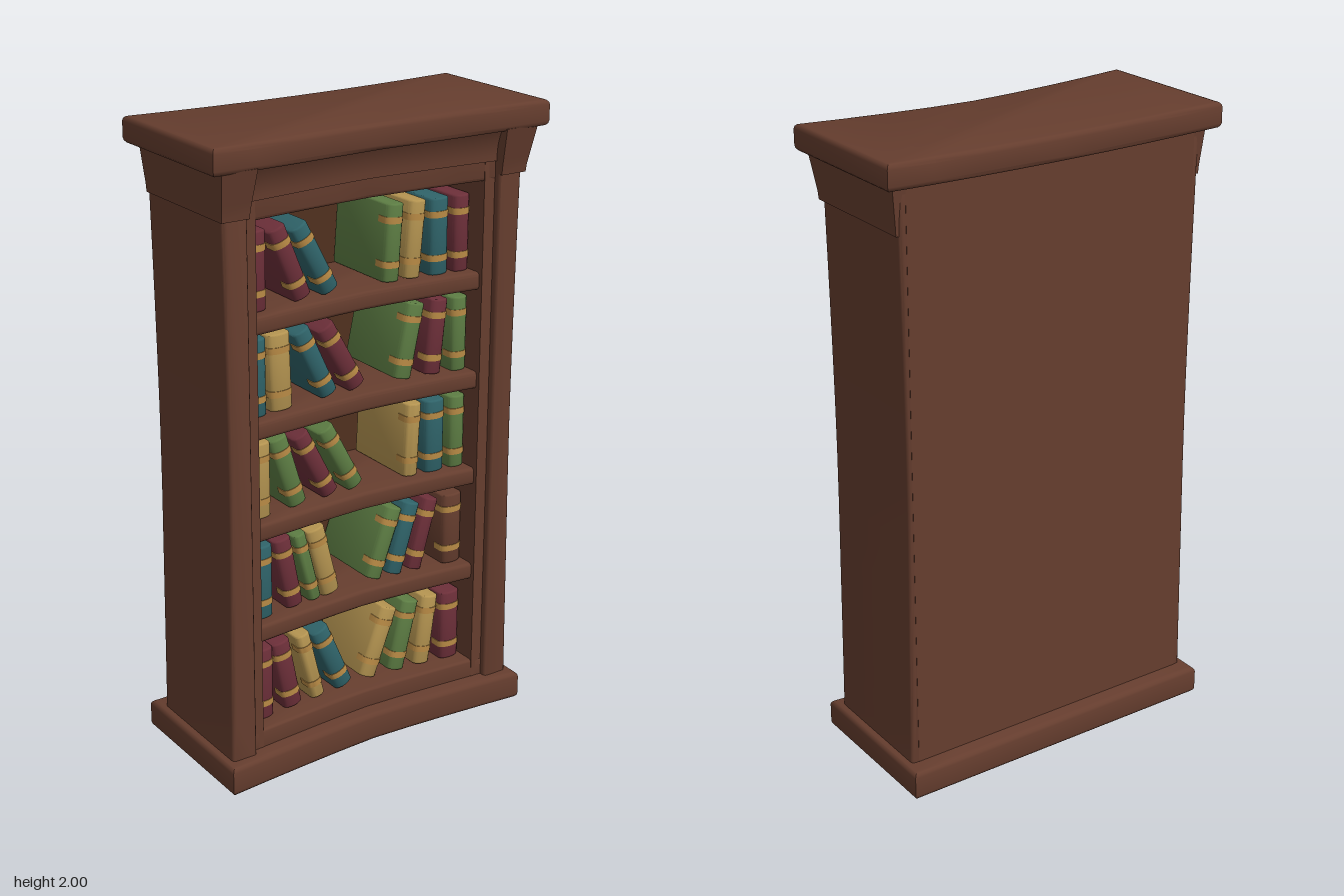
import * as THREE from 'three';
import { toCreasedNormals } from 'three/addons/utils/BufferGeometryUtils.js';

const mat = (name, color) => {
  const m = new THREE.MeshStandardMaterial({ color });
  m.name = name;
  return m;
};
const M = {
  wood: mat('wood', 0x653d2e),
  dark: mat('shadedWood', 0x50301f),
  maroon: mat('maroonCover', 0x6c2f39),
  teal: mat('tealCover', 0x2f6369),
  green: mat('greenCover', 0x5c7c43),
  yellow: mat('yellowCover', 0xb39350),
  gold: mat('goldBand', 0xb88a45),
};

// Concave front: 0 at the ends, d in the middle
const dip = (x, w, d) => d * (1 - Math.pow(Math.min(1, Math.abs(x) / w), 1.3));

function add(parent, name, geo, material) {
  const mesh = new THREE.Mesh(geo, material);
  mesh.name = name;
  parent.add(mesh);
  return mesh;
}

// Extrude a plan outline of [x, z] points upward from y0 to y1 with rounded edges
function planExtrude(points, y0, y1, bevel) {
  const shape = new THREE.Shape(points.map(([x, z]) => new THREE.Vector2(x, -z)));
  const geo = new THREE.ExtrudeGeometry(shape, {
    depth: y1 - y0 - 2 * bevel, bevelEnabled: bevel > 0, bevelThickness: bevel,
    bevelSize: bevel, bevelOffset: -bevel, bevelSegments: 3,
  });
  geo.rotateX(-Math.PI / 2);
  geo.translate(0, y0 + bevel, 0);
  return toCreasedNormals(geo, 0.7);
}

// Board whose front edge curves inward
function slab(w, zBack, zFront, d, y0, y1, bevel) {
  const pts = [], n = 8;
  for (let i = 0; i <= n; i++) {
    const x = -w + (2 * w * i) / n;
    pts.push([x, zFront - dip(x, w, d)]);
  }
  for (let i = n; i >= 0; i--) pts.push([-w + (2 * w * i) / n, zBack]);
  return planExtrude(pts, y0, y1, bevel);
}

function box(x0, x1, y0, y1, z0, z1, sx = 1, sy = 1) {
  const geo = new THREE.BoxGeometry(x1 - x0, y1 - y0, z1 - z0, sx, sy, 1);
  return geo.translate((x0 + x1) / 2, (y0 + y1) / 2, (z0 + z1) / 2);
}

// Move every vertex by a rule, then smooth the shallow edges
function reshape(geo, rule) {
  const p = geo.attributes.position, v = new THREE.Vector3();
  for (let i = 0; i < p.count; i++) {
    rule(v.fromBufferAttribute(p, i));
    p.setXYZ(i, v.x, v.y, v.z);
  }
  return toCreasedNormals(geo, 0.7);
}

// Side post with a slightly waisted outer edge
function postGeometry(side) {
  const outer = new THREE.CatmullRomCurve3(
    [[0.524, 0.08], [0.518, 0.5], [0.512, 1], [0.515, 1.45], [0.522, 1.92]]
      .map(([x, y]) => new THREE.Vector3(x, y, 0))).getPoints(12);
  const pts = [new THREE.Vector2(0.438, 1.92), new THREE.Vector2(0.438, 0.08),
    ...outer.map((p) => new THREE.Vector2(p.x, p.y))];
  const shape = new THREE.Shape(pts.map((p) => new THREE.Vector2(p.x * side, p.y)));
  const b = 0.012;
  const geo = new THREE.ExtrudeGeometry(shape, {
    depth: 0.42 - 2 * b, bevelThickness: b, bevelSize: b, bevelOffset: -b, bevelSegments: 3,
  });
  geo.translate(0, 0, -0.21 + b);
  return toCreasedNormals(geo, 0.7);
}

// Flared block on top of a post
function capitalGeometry(side) {
  const geo = box(-0.5, 0.5, 0, 1, -0.5, 0.5, 1, 6);
  return reshape(geo, (v) => {
    const t = v.y, f = t < 0.15 ? t * 0.5 : 0.075 + ((t - 0.15) / 0.85) * 0.925;
    const inner = 0.438 - 0.01 * f, outer = 0.528 + 0.014 * f;
    v.x = side * (0.5 * (inner + outer) + side * v.x * (outer - inner));
    v.z = v.z > 0 ? 0.218 + 0.032 * f : -0.202 - 0.01 * f;
    v.y = 1.78 + 0.145 * t;
  });
}

// Plan of a book: rounded spine toward +z
function bookPlan(w, zBack, grow) {
  const hw = w / 2 + grow, pts = [[-hw, zBack]];
  for (let i = 0; i <= 8; i++) {
    const a = Math.PI * (1 - i / 8);
    pts.push([Math.cos(a) * hw, Math.sin(a) * (0.018 + grow) - 0.018]);
  }
  pts.push([hw, zBack]);
  return pts;
}

const BOOK_H = 0.238;
function makeBook(color, w) {
  const book = new THREE.Group();
  book.name = color + 'Book';
  add(book, 'cover', planExtrude(bookPlan(w, -0.27, 0), 0, BOOK_H, 0.005), M[color]);
  for (const y of [0.043, 0.178]) {
    add(book, 'spineBand', planExtrude(bookPlan(w, -0.05, 0.002), y, y + 0.02, 0), M.gold);
  }
  return book;
}

// Each row: shelf height, then [colour, centre x, lean in degrees, thickness]
const ROWS = [
  [1.475, [['maroon', -0.363, 0, 0.07], ['maroon', -0.242, 22, 0.06], ['teal', -0.152, 28, 0.06],
    ['green', 0.127, -4, 0.06], ['yellow', 0.203, -5, 0.06], ['teal', 0.287, 0, 0.068], ['maroon', 0.366, 0, 0.058]]],
  [1.155, [['teal', -0.365, 0, 0.065], ['yellow', -0.28, 2, 0.076], ['teal', -0.152, 25, 0.06],
    ['maroon', -0.055, 29, 0.062], ['green', 0.188, -12, 0.065], ['maroon', 0.284, -6, 0.062], ['green', 0.366, 0, 0.058]]],
  [0.832, [['yellow', -0.36, 0, 0.076], ['green', -0.255, 17, 0.062], ['maroon', -0.152, 27, 0.058],
    ['green', -0.058, 28, 0.058], ['yellow', 0.204, -3, 0.055], ['teal', 0.285, 0, 0.072], ['green', 0.366, 0, 0.058]]],
  [0.5, [['teal', -0.36, 0, 0.08], ['maroon', -0.258, 11, 0.06], ['green', -0.187, 14, 0.045], ['yellow', -0.125, 14, 0.064],
    ['green', 0.105, -20, 0.06], ['teal', 0.175, -17, 0.06], ['maroon', 0.248, -16, 0.055], ['wood', 0.356, 0, 0.074]]],
  [0.155, [['maroon', -0.36, 0, 0.075], ['maroon', -0.268, 11, 0.065], ['yellow', -0.177, 14, 0.05], ['teal', -0.092, 23, 0.064],
    ['yellow', 0.087, -21, 0.064], ['green', 0.18, -14, 0.064], ['yellow', 0.265, -8, 0.062], ['maroon', 0.355, 0, 0.074]]],
];

export function createModel() {
  const model = new THREE.Group();
  model.name = 'bookcase';

  // Base and top boards
  add(model, 'base', slab(0.548, -0.266, 0.25, 0.04, 0, 0.095, 0.016), M.wood);
  const top = reshape(slab(0.575, -0.245, 0.262, 0.042, 1.92, 2, 0.016),
    (v) => { v.y -= 0.008 * (1 - (v.x / 0.575) ** 2); });
  add(model, 'topBoard', top, M.wood);

  // Case
  add(model, 'backPanel', box(-0.5, 0.5, 0.08, 1.93, -0.211, -0.18), M.wood);
  add(model, 'innerBack', box(-0.42, 0.42, 0.14, 1.78, -0.18, -0.172), M.dark);
  for (const side of [1, -1]) {
    const tag = side > 0 ? 'left' : 'right';
    add(model, tag + 'Post', postGeometry(side), M.wood);
    add(model, tag + 'Capital', capitalGeometry(side), M.wood);
    add(model, tag + 'Stile', box(side * 0.425 - 0.025, side * 0.425 + 0.025, 0.09, 1.92, -0.18, 0.185), M.wood);
  }

  // Rails and crown moulding
  add(model, 'bottomRail', slab(0.44, -0.18, 0.187, 0.03, 0.08, 0.155, 0.01), M.wood);
  add(model, 'topRail', slab(0.44, -0.18, 0.187, 0.03, 1.76, 1.92, 0.01), M.wood);
  const crown = reshape(box(-0.44, 0.44, 1.82, 1.925, 0, 0.2, 10, 6), (v) => {
    const t = (v.y - 1.82) / 0.105;
    if (v.z > 0.1) v.z = 0.196 + 0.034 * t * t - dip(v.x, 0.44, 0.033);
  });
  add(model, 'crownMoulding', crown, M.wood);

  // Shelves with their books
  ROWS.forEach(([y, books], row) => {
    if (row < 4) add(model, 'shelf', slab(0.41, -0.18, 0.172, 0.03, y - 0.056, y, 0.012), M.wood);
    const shelfBooks = new THREE.Group();
    shelfBooks.name = 'booksRow' + (row + 1);
    for (const [color, x, lean, w] of books) {
      const a = THREE.MathUtils.degToRad(lean);
      const book = makeBook(color, w);
      // Lean about the middle so the lowest corner rests on the shelf
      const lift = (w / 2) * Math.abs(Math.sin(a));
      book.rotation.z = a;
      book.position.set(x + (BOOK_H / 2) * Math.sin(a), y + lift, 0.135 - dip(x, 0.41, 0.028));
      shelfBooks.add(book);
    }
    model.add(shelfBooks);
  });
  return model;
}
